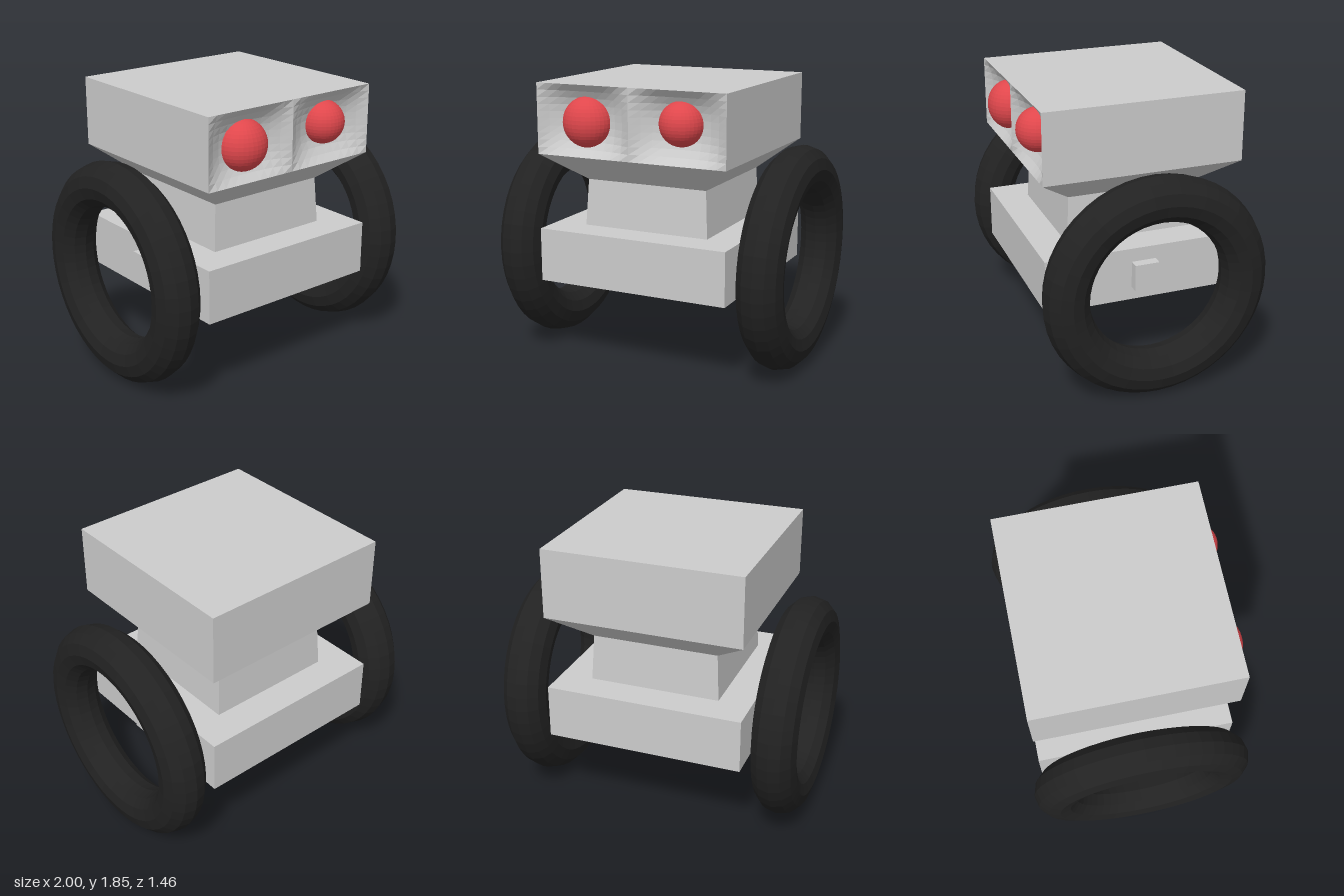
import * as THREE from 'three';

const mat = (color) => new THREE.MeshStandardMaterial({ color, flatShading: true });

export function createModel() {
  const model = new THREE.Group();
  const grey = mat(0xcccccc);
  const black = mat(0x222222);
  const red = mat(0xe0474c);

  const add = (name, geometry, material, x, y, z) => {
    const mesh = new THREE.Mesh(geometry, material);
    mesh.name = name;
    mesh.position.set(x, y, z);
    model.add(mesh);
    return mesh;
  };

  // Square block whose half width changes from bottom to top
  const block = (name, y0, y1, half0, half1) => {
    const g = new THREE.BoxGeometry(2, y1 - y0, 2);
    const p = g.attributes.position;
    for (let i = 0; i < p.count; i++) {
      const s = p.getY(i) < 0 ? half0 : half1;
      p.setX(i, p.getX(i) * s);
      p.setZ(i, p.getZ(i) * s);
    }
    g.computeVertexNormals();
    return add(name, g, grey, -0.01, (y0 + y1) / 2, 0);
  };

  // Body stack
  block('base', 0.56, 0.91, 0.65, 0.65);
  block('neck', 0.91, 1.215, 0.435, 0.418);
  block('headFlare', 1.215, 1.4, 0.418, 0.65);

  // Head, its front face pressed into two shallow bowls with a ridge between
  const headHeight = 0.455;
  const head = new THREE.BoxGeometry(1.3, headHeight, 1.3, 20, 10, 1);
  const p = head.attributes.position;
  for (let i = 0; i < p.count; i++) {
    if (p.getZ(i) < 0.6) continue;
    const u = Math.abs(p.getX(i)) / 0.325 - 1;
    const v = p.getY(i) / (headHeight / 2);
    const bowl = (1 - Math.abs(u) ** 2.5) * (1 - Math.abs(v) ** 2.5);
    p.setZ(i, 0.65 - 0.1 * bowl);
  }
  head.computeVertexNormals();
  add('head', head, grey, -0.01, 1.4 + headHeight / 2, 0);

  // Eyes of slightly different size
  add('rightEye', new THREE.SphereGeometry(0.162, 32, 20), red, -0.34, 1.615, 0.565).scale.z = 0.9;
  add('leftEye', new THREE.SphereGeometry(0.14, 32, 20), red, 0.315, 1.647, 0.57);

  // Axle through the base
  add('axle', new THREE.BoxGeometry(1.415, 0.175, 0.16), grey, -0.003, 0.733, 0.003);

  // Tyres, each leaning outward a little
  const tyre = (name, x, y, radius, lean) => {
    const g = new THREE.TorusGeometry(radius, 0.146, 12, 48).rotateY(Math.PI / 2);
    add(name, g, black, x, y, 0).rotation.z = lean;
  };
  tyre('rightTyre', -0.853, 0.737, 0.577, 0.008);
  tyre('leftTyre', 0.84, 0.733, 0.585, -0.02);

  return model;
}
